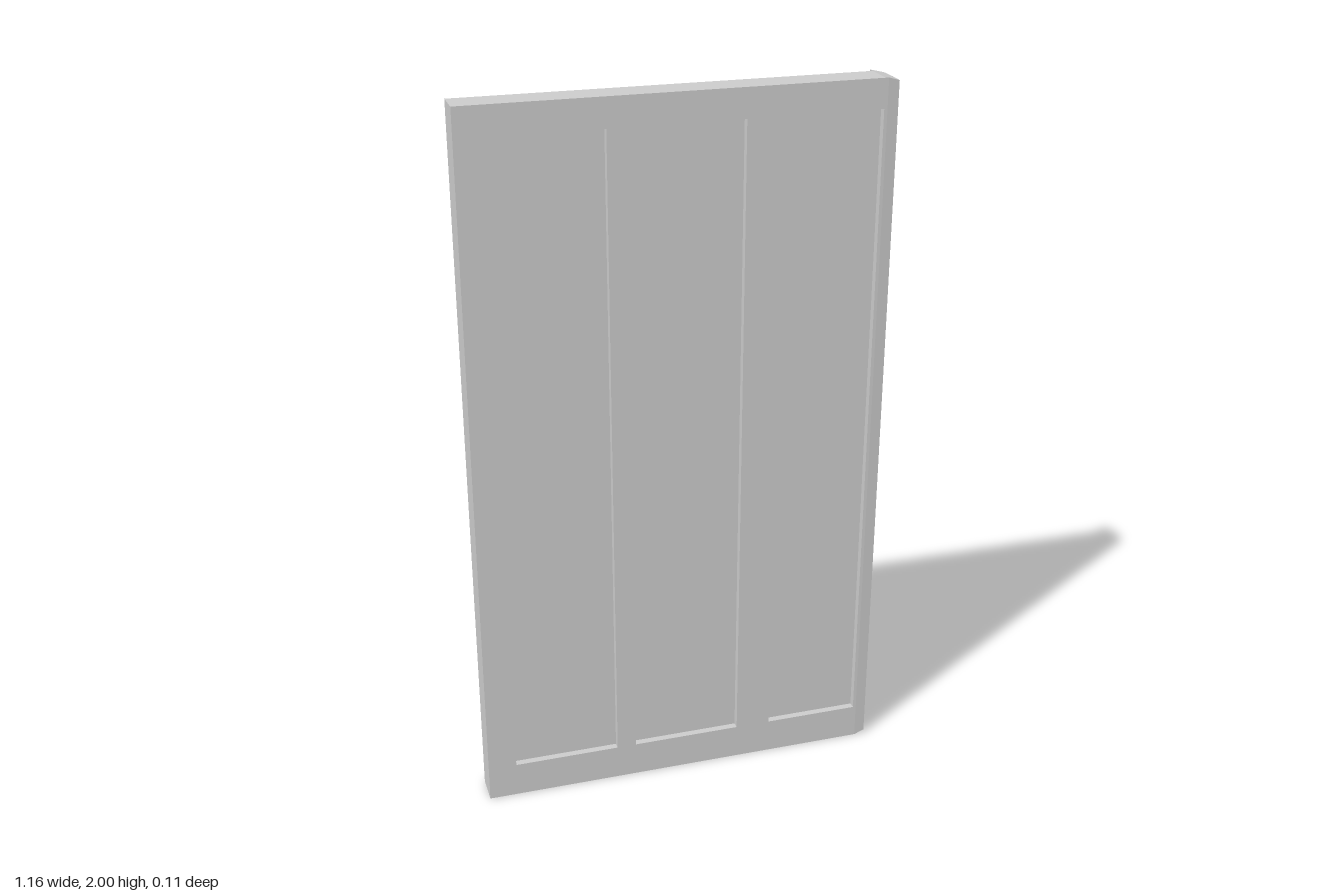
import * as THREE from 'three';

export function createModel() {
  const group = new THREE.Group();
  const material = new THREE.MeshStandardMaterial({ color: 0xcccccc, flatShading: true });

  const add = (name, geometry) => {
    const mesh = new THREE.Mesh(geometry, material);
    mesh.name = name;
    group.add(mesh);
  };
  // Box given by its lower and upper limits on each axis
  const slab = (name, x0, x1, y0, y1, z0, z1) => {
    const geometry = new THREE.BoxGeometry(x1 - x0, y1 - y0, z1 - z0);
    geometry.translate((x0 + x1) / 2, (y0 + y1) / 2, (z0 + z1) / 2);
    add(name, geometry);
  };

  const back = -0.037, front = 0.05, recess = 0.02;
  const bottom = 0.1, top = 1.92, edge = 0.536;

  // Rails and upright members of the frame
  slab('topRail', -0.58, edge, top, 2, back, front);
  slab('bottomRail', -0.58, edge, 0, bottom, back, front);
  slab('hingeStile', -0.58, -0.5, bottom, top, back, front);
  slab('mullionOuter', -0.2, -0.145, bottom, top, back, front);
  slab('mullionInner', 0.165, 0.265, bottom, top, back, front);

  // Recessed panels between the uprights
  [[-0.5, -0.2], [-0.145, 0.165], [0.265, edge]].forEach(([x0, x1], i) =>
    slab('panel' + (i + 1), x0, x1, bottom, top, back + recess, front - recess));

  // Thicker closing stile with a faceted outer edge
  const profile = new THREE.Shape([
    [edge, 0.055], [0.574, 0.052], [0.58, 0.005], [0.576, -0.047], [0.545, -0.05], [edge, -0.05],
  ].map(([x, y]) => new THREE.Vector2(x, y)));
  const stile = new THREE.ExtrudeGeometry(profile, { depth: 2, bevelEnabled: false });
  stile.rotateX(-Math.PI / 2);
  // Ease the ends down towards the outer edge
  const p = stile.attributes.position;
  for (let i = 0; i < p.count; i++) {
    const ease = Math.max(0, p.getX(i) - 0.55) * 0.35;
    p.setY(i, p.getY(i) > 1 ? 2 - ease : ease);
  }
  stile.computeVertexNormals();
  add('closingStile', stile);

  return group;
}
